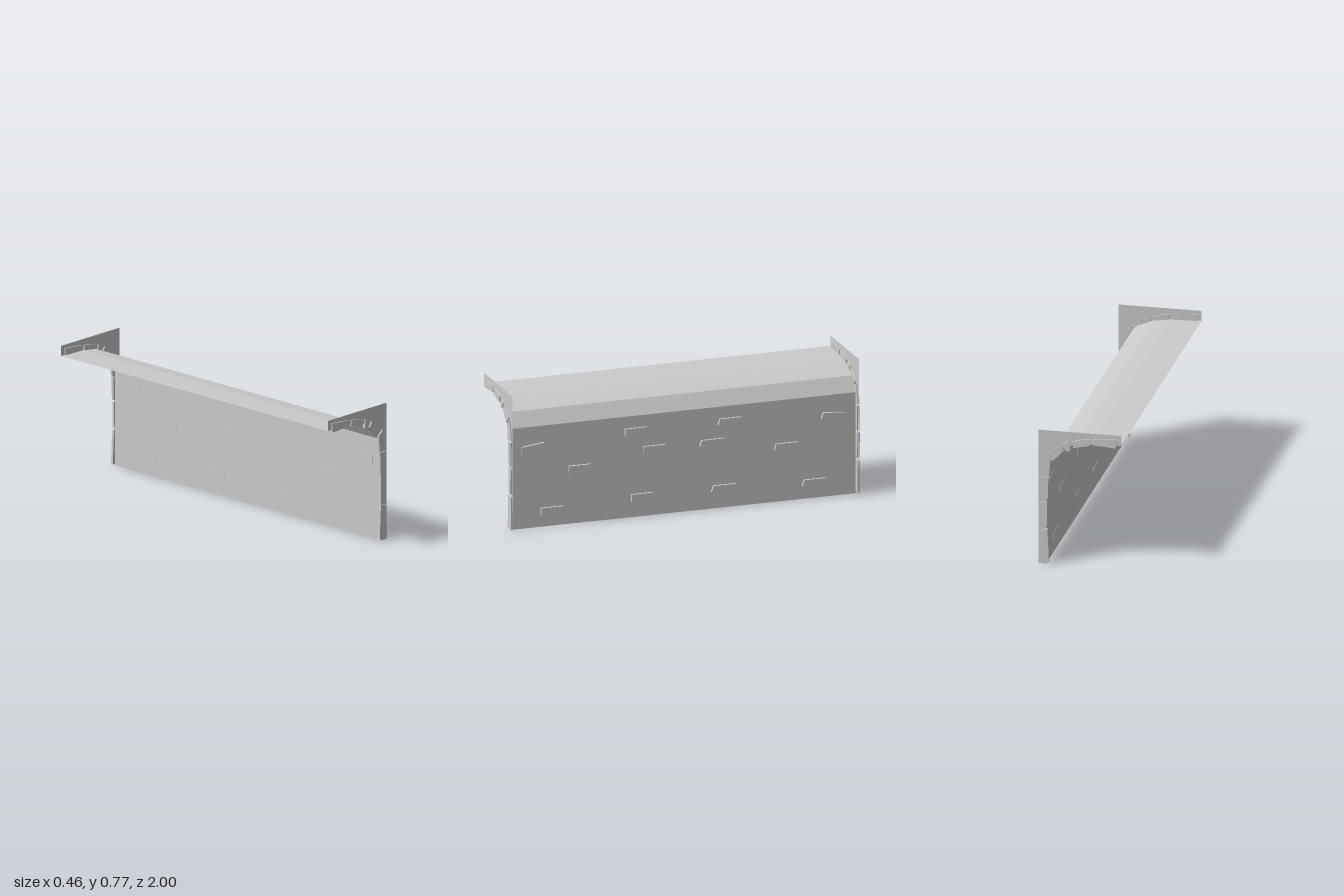
import * as THREE from 'three';

const END_Z = 0.993; // plane of the end facings

// Section of the half vault, from the wall foot to the crown
const PROFILE = [[0.185, 0], [0.185, 0.57], [0.135, 0.65], [0.035, 0.692], [-0.06, 0.706], [-0.23, 0.71]];

// Outlines of the arch stones, from the crown down to the foot
const STONES = [
  [[-0.205, 0.748], [-0.074, 0.738], [-0.07, 0.704], [-0.2, 0.695]],
  [[-0.054, 0.733], [-0.007, 0.728], [0.041, 0.713], [0.034, 0.679], [-0.056, 0.698]],
  [[0.057, 0.713], [0.102, 0.694], [0.072, 0.656], [0.05, 0.665]],
  [[0.107, 0.689], [0.182, 0.633], [0.149, 0.594], [0.086, 0.659]],
  [[0.194, 0.624], [0.218, 0.513], [0.168, 0.503], [0.16, 0.596]],
  [[0.171, 0.499], [0.215, 0.5], [0.211, 0.362], [0.175, 0.371]],
  [[0.178, 0.359], [0.219, 0.351], [0.215, 0.211], [0.179, 0.215]],
  [[0.177, 0.202], [0.22, 0.194], [0.224, 0.014], [0.168, 0.01]],
];

// Loose wall bricks: z, y, slope
const BRICKS = [
  [0.86, 0.45, -0.12], [0.267, 0.483, 0], [0.163, 0.373, 0],
  [0.59, 0.308, 0], [0.75, 0.088, 0], [0.23, 0.11, 0],
];
const BRICK_OUTLINE = [[0.068, 0.02], [-0.06, 0.02], [-0.071, -0.014], [0.068, -0.021]];

const shapeOf = (points) => new THREE.Shape(points.map(([x, y]) => new THREE.Vector2(x, y)));

// Plate of the given outline, centred on its own thickness
function plate(points, depth) {
  const geometry = new THREE.ExtrudeGeometry(shapeOf(points), { depth, bevelEnabled: false });
  return geometry.translate(0, 0, -depth / 2);
}

// Thin sheet: the section swept along z with flat facets
function sheet(profile, halfLength) {
  const positions = [];
  for (let i = 0; i < profile.length - 1; i++) {
    const [ax, ay] = profile[i];
    const [bx, by] = profile[i + 1];
    const a = [ax, ay, halfLength], b = [ax, ay, -halfLength];
    const c = [bx, by, -halfLength], d = [bx, by, halfLength];
    positions.push(...a, ...b, ...c, ...a, ...c, ...d);
  }
  const geometry = new THREE.BufferGeometry();
  geometry.setAttribute('position', new THREE.Float32BufferAttribute(positions, 3));
  geometry.computeVertexNormals();
  return geometry;
}

export function createModel() {
  const model = new THREE.Group();
  model.name = 'halfVault';
  const solid = new THREE.MeshStandardMaterial({ color: 0xcccccc, flatShading: true });
  const thin = new THREE.MeshStandardMaterial({ color: 0xcccccc, flatShading: true, side: THREE.DoubleSide });

  const add = (name, geometry, material, parent = model) => {
    const mesh = new THREE.Mesh(geometry, material);
    mesh.name = name;
    parent.add(mesh);
    return mesh;
  };

  // Wall and curved ceiling
  add('vaultSheet', sheet(PROFILE, END_Z), thin);

  // Facing and arch stones at both ends
  const facing = new THREE.ShapeGeometry(shapeOf([...PROFILE, [-0.23, 0.767], [0.228, 0.767], [0.228, 0]]));
  const stones = STONES.map((outline) => plate(outline, 0.014));
  for (const side of [1, -1]) {
    const end = new THREE.Group();
    end.name = side > 0 ? 'frontArch' : 'backArch';
    end.position.z = side * END_Z;
    add('facing', facing, thin, end);
    stones.forEach((stone) => add('archStone', stone, solid, end));
    model.add(end);
  }

  // Bricks standing out of the wall, mirrored front to back
  for (const side of [1, -1]) {
    for (const [z, y, slope] of BRICKS) {
      const outline = BRICK_OUTLINE.map(([u, v]) => [-side * u, v + slope * u]);
      const brick = add('wallBrick', plate(outline, 0.015).rotateY(Math.PI / 2), solid);
      brick.position.set(0.191, y, side * z);
    }
  }
  return model;
}
